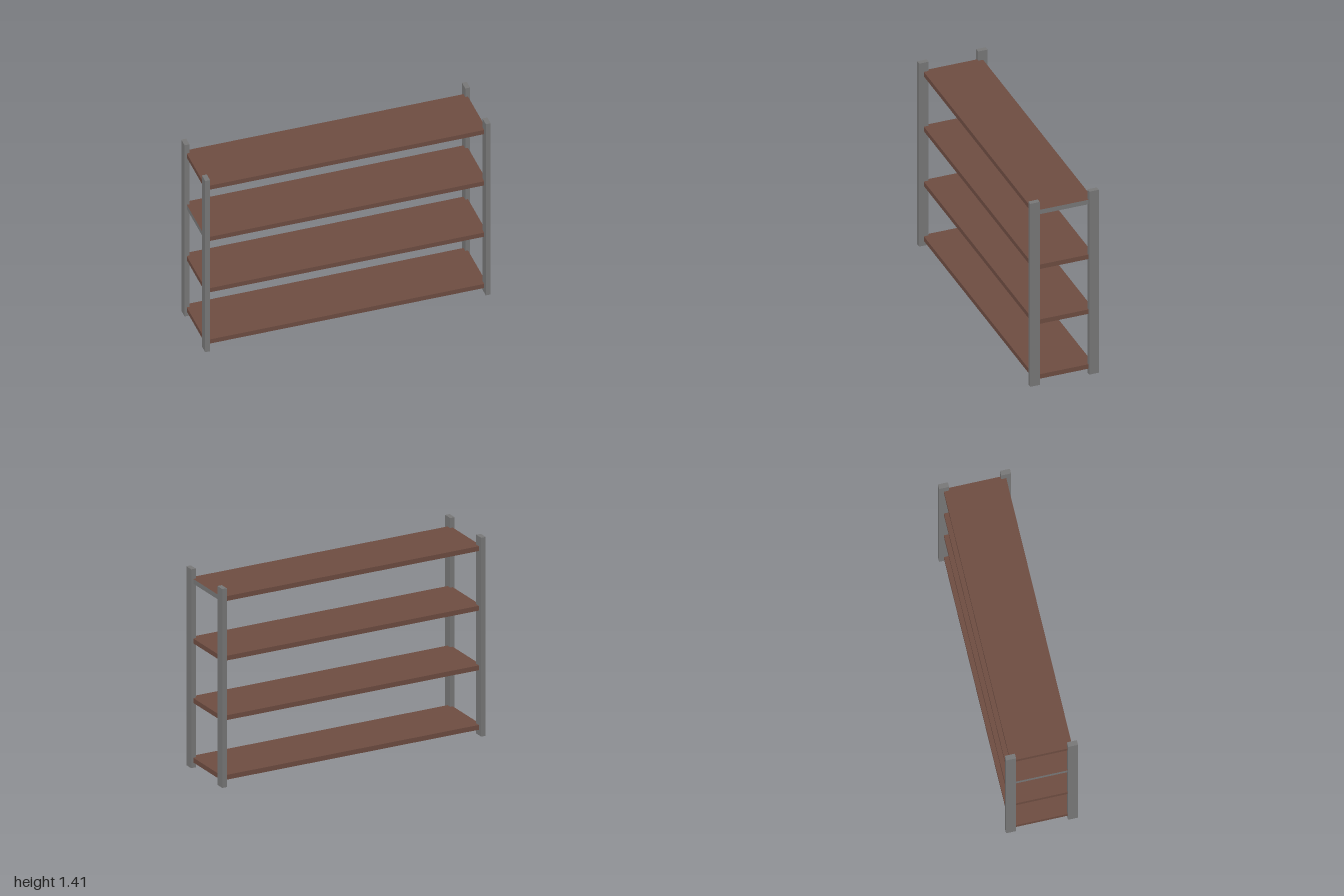
import * as THREE from 'three';

export function createModel() {
  const model = new THREE.Group();
  model.name = 'shelvingUnit';

  const steel = new THREE.MeshStandardMaterial({ color: 0x777777 });
  steel.name = 'grey steel';
  const wood = new THREE.MeshStandardMaterial({ color: 0x6d4c41 });
  wood.name = 'brown wood';

  // Four corner posts
  const height = 1.41, postW = 0.034, postD = 0.068;
  const postGeometry = new THREE.BoxGeometry(postW, height, postD);
  for (const [sx, side] of [[1, 'Left'], [-1, 'Right']]) {
    for (const [sz, end] of [[1, 'front'], [-1, 'back']]) {
      const post = new THREE.Mesh(postGeometry, steel);
      post.name = `${end}${side}Post`;
      post.position.set(sx * (1 - postW / 2), height / 2, sz * (0.245 - postD / 2));
      model.add(post);
    }
  }

  // Shelves, let into the posts; two of them have one grey end face
  const greyEnd = { 2: 1, 3: 0 }; // shelf number -> box face (0 is +x, 1 is -x)
  const shelfGeometry = new THREE.BoxGeometry(1.97, 0.034, 0.424);
  for (let i = 0; i < 4; i++) {
    const faces = Array(6).fill(wood);
    if (i in greyEnd) faces[greyEnd[i]] = steel;
    const shelf = new THREE.Mesh(shelfGeometry, faces);
    shelf.name = `shelf${i + 1}`;
    shelf.position.y = 0.055 + i * 0.4225;
    model.add(shelf);
  }

  return model;
}
